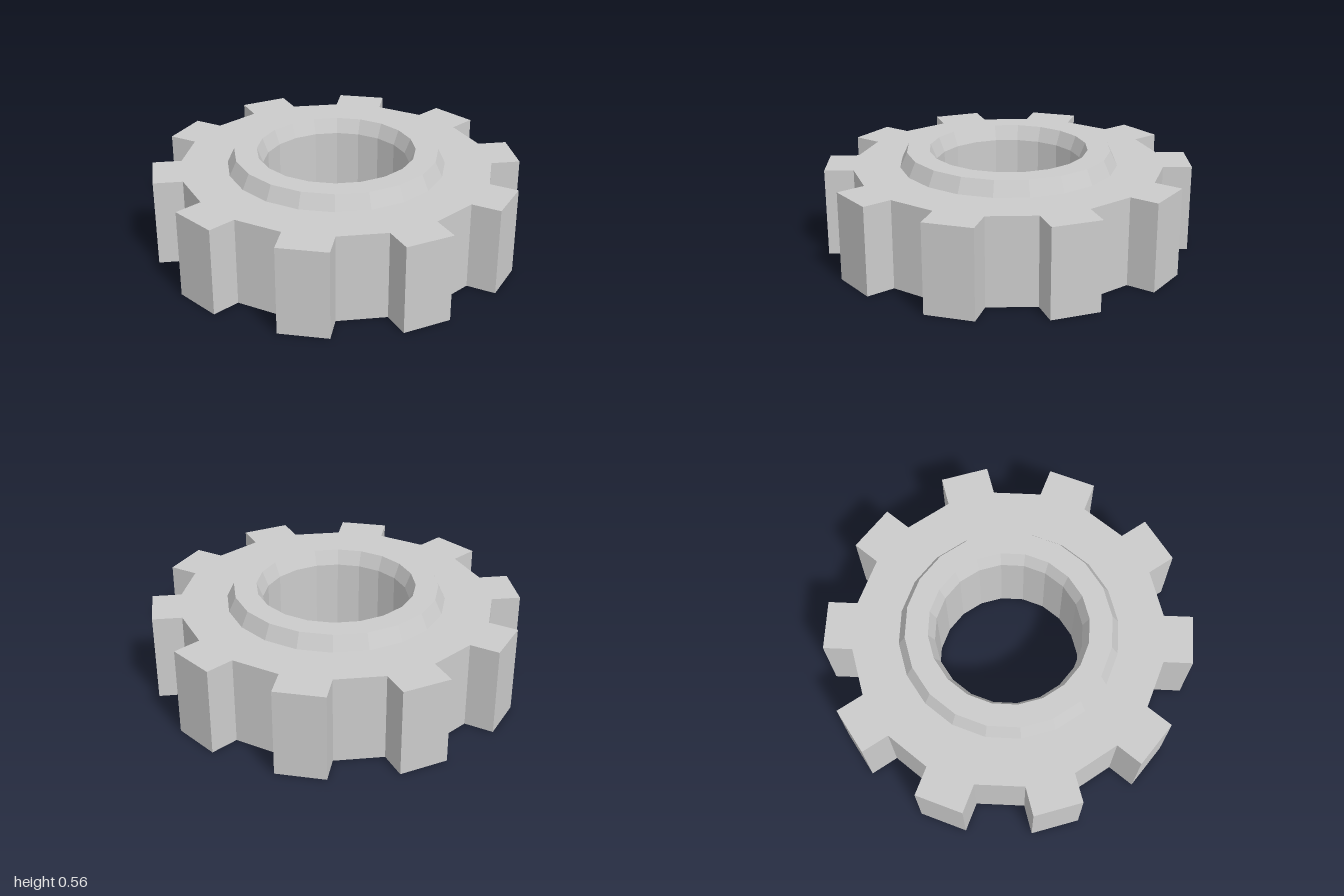
import * as THREE from 'three';

const TEETH = 10, SIDES = 20;
const ROOT_R = 0.844, TIP_R = 1.0, BORE_R = 0.395;
const GEAR_H = 0.475, HUB_TOP = 0.555;
const DEPTH_SCALE = 0.985; // the toothed rim is slightly narrower front to back

const polar = (r, deg, squash = 1) => {
  const a = THREE.MathUtils.degToRad(deg);
  return new THREE.Vector2(r * Math.cos(a), r * Math.sin(a) * squash);
};

export function createModel() {
  const group = new THREE.Group();
  group.name = 'gear';
  const material = new THREE.MeshStandardMaterial({ color: 0xcccccc, flatShading: true });

  // Toothed body: each tooth spans 18 degrees at the root and keeps its width to the tip
  const outline = [];
  for (let i = 0; i < TEETH; i++) {
    const start = (i * 360) / TEETH;
    outline.push(
      polar(ROOT_R, start, DEPTH_SCALE),
      polar(TIP_R, start + 1.4, DEPTH_SCALE),
      polar(TIP_R, start + 16.6, DEPTH_SCALE),
      polar(ROOT_R, start + 18, DEPTH_SCALE)
    );
  }
  const shape = new THREE.Shape(outline);

  // Twenty-sided bore through the body
  const bore = [];
  for (let i = 0; i < SIDES; i++) bore.push(polar(BORE_R, (-i * 360) / SIDES));
  shape.holes.push(new THREE.Path(bore));

  const bodyGeometry = new THREE.ExtrudeGeometry(shape, { depth: GEAR_H, bevelEnabled: false });
  bodyGeometry.rotateX(-Math.PI / 2);
  const body = new THREE.Mesh(bodyGeometry, material);
  body.name = 'toothedBody';
  group.add(body);

  // Raised collar: sloped outside, flat top, funnel down into the bore
  const profile = [
    [0.588, GEAR_H], [0.55, HUB_TOP], [0.428, HUB_TOP], [BORE_R, GEAR_H],
  ].map(([r, y]) => new THREE.Vector2(r, y));
  const collar = new THREE.Mesh(new THREE.LatheGeometry(profile, SIDES), material);
  collar.name = 'collar';
  group.add(collar);

  return group;
}
